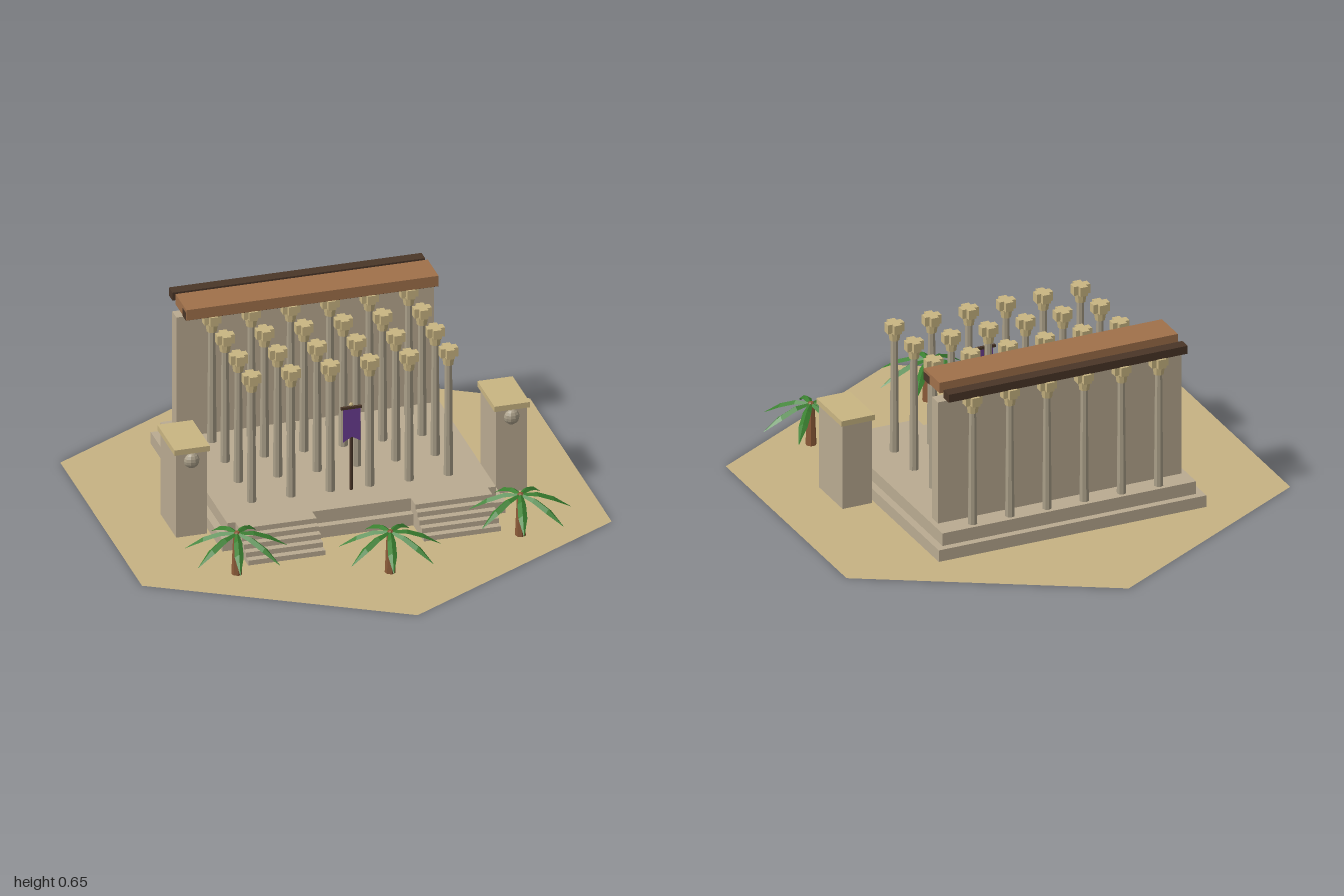
import * as THREE from 'three';

const mat = (name, color, side = THREE.FrontSide) => {
  const m = new THREE.MeshStandardMaterial({ color, side, flatShading: true });
  m.name = name;
  return m;
};

export function createModel() {
  const root = new THREE.Group();
  root.name = 'ruinedTemple';
  const sand = mat('sand', 0xc6b283, THREE.DoubleSide);
  const gold = mat('paleGold', 0xc9b582);
  const stone = mat('stone', 0xbaab91);
  const worn = mat('wornStone', 0xa99e88);
  const timber = mat('timber', 0xa0704a);
  const dark = mat('darkTimber', 0x4a3628);
  const trunkMat = mat('trunk', 0x8b5a38);
  const leaf = mat('leaf', 0x3a8030, THREE.DoubleSide);
  const cloth = mat('purpleCloth', 0x6b3d93, THREE.DoubleSide);

  const add = (name, geo, material, x = 0, y = 0, z = 0, parent = root) => {
    const m = new THREE.Mesh(geo, material);
    m.name = name;
    m.position.set(x, y, z);
    parent.add(m);
    return m;
  };
  // Box given by its extents
  const box = (name, material, x0, x1, y0, y1, z0, z1, parent = root) =>
    add(name, new THREE.BoxGeometry(x1 - x0, y1 - y0, z1 - z0), material,
      (x0 + x1) / 2, (y0 + y1) / 2, (z0 + z1) / 2, parent);
  const group = (name, x = 0, y = 0, z = 0) => {
    const g = new THREE.Group();
    g.name = name;
    g.position.set(x, y, z);
    root.add(g);
    return g;
  };
  const Y0 = 0.008;

  // Hexagonal ground, points towards front and back
  const ground = new THREE.CircleGeometry(1, 6, Math.PI / 2);
  ground.rotateX(-Math.PI / 2);
  add('ground', ground, sand);

  // Two-tier platform
  box('lowerPlatform', stone, -0.522, 0.522, Y0, 0.053, -0.535, 0.342);
  box('upperPlatform', stone, -0.495, 0.495, 0.053, 0.102, -0.508, 0.314);

  // Twin stairways
  for (const s of [-1, 1]) {
    const stairs = group(s > 0 ? 'leftStairs' : 'rightStairs', s * 0.324);
    for (let i = 0; i < 5; i++) {
      const h = (0.102 - Y0) / 5;
      box('step', stone, -0.142, 0.142, Y0 + h * i, Y0 + h * (i + 1), 0.314, 0.473 - 0.0265 * i, stairs);
    }
  }

  // Back wall and remaining roof beams
  box('backWall', stone, -0.475, 0.475, 0.102, 0.577, -0.428, -0.377);
  box('roofSlab', timber, -0.465, 0.465, 0.607, 0.648, -0.42, -0.288);
  for (const z of [-0.313, -0.477])
    box('architrave', dark, -0.466, 0.466, 0.605, 0.636, z - 0.022, z + 0.022);

  // Column grid with lobed capitals
  const shaft = new THREE.CylinderGeometry(0.0135, 0.0175, 0.445, 8);
  const neck = new THREE.CylinderGeometry(0.024, 0.019, 0.034, 8);
  const lobeX = new THREE.BoxGeometry(0.064, 0.035, 0.03);
  const lobeZ = new THREE.BoxGeometry(0.03, 0.035, 0.064);
  for (let r = 0; r < 5; r++) {
    for (let c = 0; c < 6; c++) {
      const col = group('column', -0.363 + 0.1452 * c, 0, 0.171 - 0.162 * r);
      add('shaft', shaft, worn, 0, 0.3245, 0, col);
      add('capitalNeck', neck, gold, 0, 0.556, 0, col);
      add('capitalLobes', lobeX, gold, 0, 0.5885, 0, col);
      add('capitalLobes', lobeZ, gold, 0, 0.5885, 0, col);
    }
  }

  // Side pylons with cap and round boss
  for (const s of [-1, 1]) {
    const p = group(s > 0 ? 'leftPylon' : 'rightPylon', s * 0.59);
    box('pylonBody', stone, -0.057, 0.057, Y0, 0.336, -0.003, 0.192, p);
    box('pylonCap', gold, -0.065, 0.065, 0.336, 0.357, -0.012, 0.198, p);
    const boss = add('boss', new THREE.SphereGeometry(0.029, 10, 8), worn, 0, 0.306, 0.192, p);
    boss.scale.z = 0.75;
  }

  // Banner on a pole
  const banner = group('banner', 0, 0, 0.186);
  add('pole', new THREE.CylinderGeometry(0.006, 0.006, 0.335, 6), dark, 0, 0.2695, 0, banner);
  add('finial', new THREE.SphereGeometry(0.008, 6, 4), gold, 0, 0.438, 0, banner);
  box('crossbar', dark, -0.038, 0.038, 0.421, 0.431, -0.004, 0.006, banner);
  const flag = new THREE.Shape([[-0.032, 0.423], [-0.032, 0.295], [0, 0.314], [0.032, 0.295], [0.032, 0.423]]
    .map(([x, y]) => new THREE.Vector2(x, y)));
  add('cloth', new THREE.ShapeGeometry(flag), cloth, 0, 0, 0.008, banner);

  // Folded frond: ridge with lower edges, drooping outwards
  const frondGeometry = () => {
    const rows = [[0, 0.171, 0.007], [0.06, 0.168, 0.015], [0.12, 0.143, 0.016], [0.185, 0.094, 0.001]];
    const pos = [], idx = [];
    rows.forEach(([x, y, w]) => pos.push(x, y - w * 0.7, -w, x, y, 0, x, y - w * 0.7, w));
    for (let i = 0; i < rows.length - 1; i++)
      for (let j = 0; j < 2; j++) {
        const a = i * 3 + j, b = a + 3;
        idx.push(a, a + 1, b, a + 1, b + 1, b);
      }
    const g = new THREE.BufferGeometry();
    g.setAttribute('position', new THREE.Float32BufferAttribute(pos, 3));
    g.setIndex(idx);
    g.computeVertexNormals();
    return g;
  };
  const frond = frondGeometry();
  const trunk = new THREE.CylinderGeometry(0.013, 0.02, 0.16, 7);
  for (const [x, z] of [[-0.522, 0.52], [0.524, 0.52], [0, 0.665]]) {
    const palm = group('palm', x, 0, z);
    add('palmTrunk', trunk, trunkMat, 0, Y0 + 0.08, 0, palm);
    add('palmHeart', new THREE.CylinderGeometry(0.008, 0.013, 0.008, 7), trunkMat, 0, 0.17, 0, palm);
    for (let i = 0; i < 7; i++)
      add('frond', frond, leaf, 0, 0, 0, palm).rotation.y = (i / 7) * Math.PI * 2;
  }
  return root;
}
